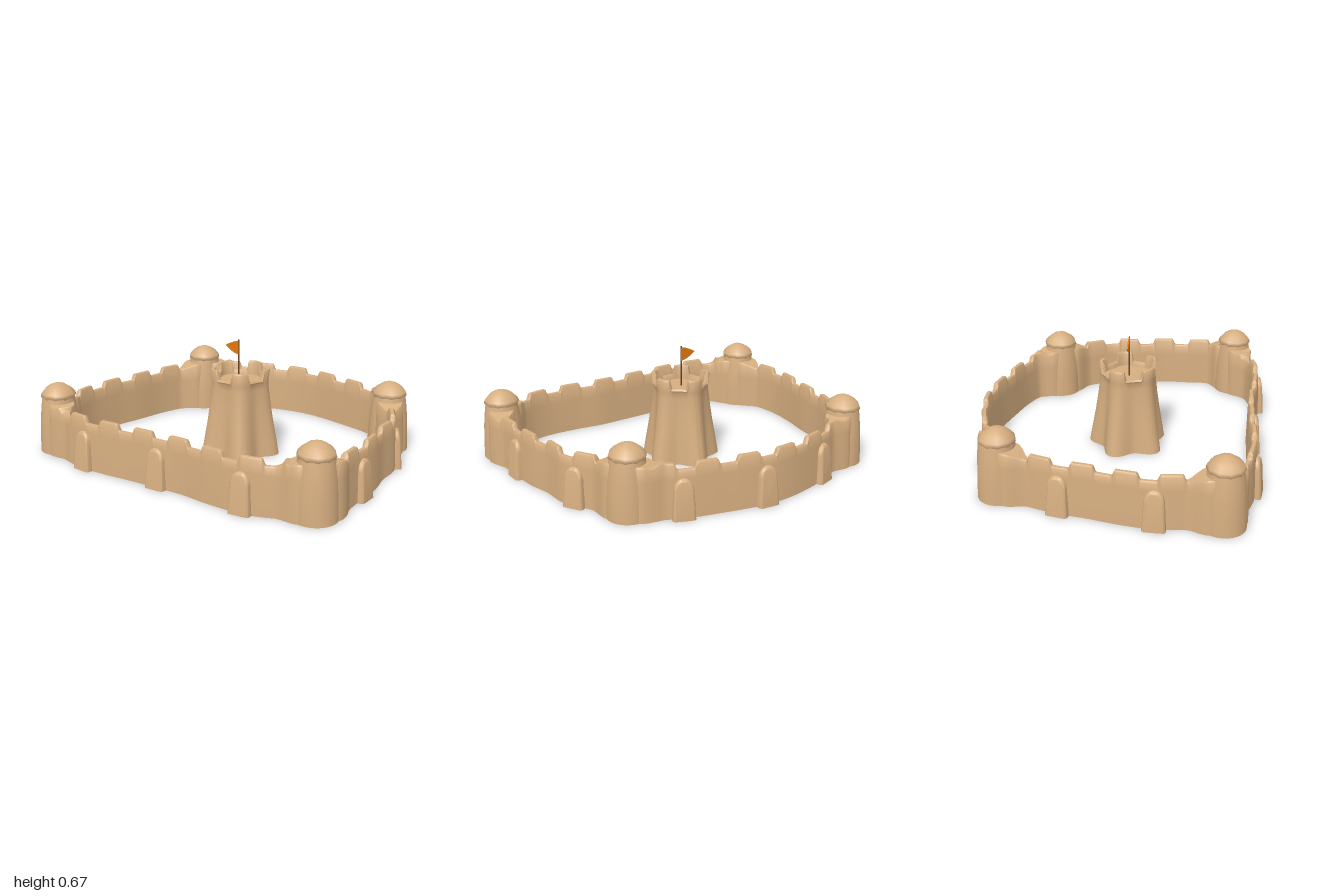
import * as THREE from 'three';
import { toCreasedNormals } from 'three/addons/utils/BufferGeometryUtils.js';

const smooth = THREE.MathUtils.smoothstep;

// Skin a list of columns, each a list of [x, y, z] points
function loft(columns) {
  const n = columns[0].length, index = [];
  for (let i = 0; i < columns.length - 1; i++) {
    for (let j = 0; j < n - 1; j++) {
      const a = i * n + j, b = a + n;
      index.push(a, b, a + 1, b, b + 1, a + 1);
    }
  }
  const g = new THREE.BufferGeometry();
  g.setAttribute('position', new THREE.Float32BufferAttribute(columns.flat(2), 3));
  g.setIndex(index);
  return toCreasedNormals(g, 0.8);
}

// Wall centre lines as [x, z], each running from one corner tower to the next
const SIDES = {
  front: [[-0.88, 0.65], [-0.69, 0.75], [-0.53, 0.78], [-0.39, 0.78], [-0.2, 0.765], [0, 0.755],
    [0.15, 0.75], [0.33, 0.765], [0.52, 0.765], [0.66, 0.735], [0.88, 0.615]],
  left: [[0.88, 0.615], [0.935, 0.48], [0.93, 0.33], [0.92, 0.13], [0.885, -0.03], [0.87, -0.19],
    [0.8, -0.32], [0.68, -0.515]],
  back: [[0.68, -0.515], [0.56, -0.63], [0.45, -0.685], [0.24, -0.74], [0, -0.785], [-0.18, -0.78],
    [-0.45, -0.71], [-0.61, -0.635], [-0.745, -0.56]],
  right: [[-0.745, -0.56], [-0.8, -0.43], [-0.86, -0.24], [-0.89, -0.05], [-0.925, 0.13],
    [-0.94, 0.32], [-0.91, 0.51], [-0.88, 0.65]],
};

// Buttress positions along each side
const BUTTRESSES = {
  front: [[-0.53, 0.78], [-0.015, 0.755], [0.54, 0.765]],
  left: [[0.93, 0.27], [0.84, -0.25]],
  back: [[0.45, -0.685], [0, -0.785], [-0.45, -0.71]],
  right: [[-0.87, -0.21], [-0.94, 0.3]],
};

function sampleSide(points) {
  const curve = new THREE.CatmullRomCurve3(points.map(([x, z]) => new THREE.Vector3(x, 0, z)));
  const length = curve.getLength(), count = Math.round(length * 150), samples = [];
  for (let i = 0; i <= count; i++) {
    const u = i / count, p = curve.getPointAt(u), t = curve.getTangentAt(u);
    samples.push({ p, nx: -t.z, nz: t.x, s: u * length, length });
  }
  return samples;
}

// Battered wall with rounded merlons, thickening where it meets the towers
function wallGeometry(samples) {
  return loft(samples.map(({ p, nx, nz, s, length }) => {
    const wave = -Math.cos(((s - length / 2) / 0.235) * Math.PI * 2);
    const end = Math.min(s, length - s);
    const flare = 0.06 * (1 - smooth(end, 0.08, 0.21));
    const h = 0.268 + 0.037 * smooth(wave, -0.45, 0.1) * smooth(end, 0.12, 0.18) + flare * 0.6;
    const section = [
      [0.026, 0], [0.024, 0.1], [0.018, 0.22], [0.016, h - 0.01], [0.009, h],
      [-0.009, h], [-0.015, h - 0.01], [-0.017, 0.2], [-0.018, 0], [0.026, 0],
    ];
    return section.map(([d, y]) => {
      const k = d + Math.sign(d) * flare;
      return [p.x + nx * k, y, p.z + nz * k];
    });
  }));
}

// Arched buttress, shallower towards its top
function buttressGeometry() {
  const arch = new THREE.Shape();
  arch.moveTo(-0.048, 0);
  arch.lineTo(0.048, 0);
  arch.lineTo(0.04, 0.16);
  arch.bezierCurveTo(0.036, 0.228, -0.036, 0.228, -0.04, 0.16);
  arch.closePath();
  const g = new THREE.ExtrudeGeometry(arch, {
    depth: 0.042, bevelThickness: 0.018, bevelSize: 0.014, bevelSegments: 4, curveSegments: 16,
  });
  const pos = g.attributes.position;
  for (let i = 0; i < pos.count; i++) {
    const y = Math.max(0, pos.getY(i));
    pos.setY(i, y);
    pos.setZ(i, pos.getZ(i) * (1 - 0.4 * (y / 0.23) ** 2));
  }
  return toCreasedNormals(g, 0.9);
}

// Five-lobed keep with a merlon on every lobe
function keepGeometry() {
  const columns = [], steps = 160;
  for (let i = 0; i <= steps; i++) {
    const a = (i / steps) * Math.PI * 2, lobe = Math.cos(5 * a);
    const h = 0.457 + 0.052 * smooth(lobe, -0.2, 0.25);
    const rings = [
      [0, 0, 0], [0, 0.202, 0.16], [0.1, 0.19, 0.14], [0.2, 0.177, 0.12], [0.3, 0.166, 0.1],
      [0.4, 0.157, 0.08], [0.435, 0.157, 0.07], [h - 0.01, 0.165, 0.07], [h, 0.159, 0.07],
      [h, 0.144, 0.07], [h - 0.01, 0.139, 0.07], [0.43, 0.135, 0.07], [0.43, 0, 0],
    ];
    columns.push(rings.map(([y, r, amp]) => {
      const k = r * (1 + amp * lobe);
      return [-Math.sin(a) * k, y, -Math.cos(a) * k];
    }));
  }
  return loft(columns);
}

const lathe = (profile, sides) =>
  new THREE.LatheGeometry(profile.map(([r, y]) => new THREE.Vector2(r, y)), sides);

export function createModel() {
  const sand = new THREE.MeshStandardMaterial({ color: 0xd6ae80, side: THREE.DoubleSide });
  sand.name = 'sand';
  const orange = new THREE.MeshStandardMaterial({ color: 0xe07a10, side: THREE.DoubleSide });
  orange.name = 'flag orange';
  const wood = new THREE.MeshStandardMaterial({ color: 0x6b4423 });
  wood.name = 'pole brown';

  const model = new THREE.Group();
  model.name = 'sandCastle';
  const add = (name, geometry, material, x = 0, y = 0, z = 0, parent = model) => {
    const mesh = new THREE.Mesh(geometry, material);
    mesh.name = name;
    mesh.position.set(x, y, z);
    parent.add(mesh);
    return mesh;
  };

  // Shared corner tower shapes
  const body = toCreasedNormals(lathe([[0, 0], [0.118, 0], [0.116, 0.1], [0.11, 0.2], [0.1, 0.29],
    [0.092, 0.335], [0, 0.335]], 28), 0.8);
  const dome = lathe([[0.088, 0.315], [0.103, 0.335], [0.098, 0.352], [0.075, 0.378],
    [0.045, 0.398], [0.018, 0.408], [0, 0.409]], 10);
  const buttress = buttressGeometry();

  for (const [side, points] of Object.entries(SIDES)) {
    const samples = sampleSide(points);
    add(side + 'Wall', wallGeometry(samples), sand);

    // Buttresses face outward from the nearest point of the wall
    for (const [x, z] of BUTTRESSES[side]) {
      const gap = (q) => Math.hypot(q.p.x - x, q.p.z - z);
      const near = samples.reduce((a, b) => (gap(b) < gap(a) ? b : a));
      const mesh = add(side + 'Buttress', buttress, sand, near.p.x, 0, near.p.z);
      mesh.rotation.y = Math.atan2(near.nx, near.nz);
    }

    // One corner tower at the start of each side
    const tower = new THREE.Group();
    tower.name = 'cornerTower';
    tower.position.set(points[0][0], 0, points[0][1]);
    model.add(tower);
    add('towerBody', body, sand, 0, 0, 0, tower);
    add('towerDome', dome, sand, 0, 0, 0, tower);
  }

  // Central keep with its flag
  add('keep', keepGeometry(), sand, -0.005, 0, 0.037);
  add('flagPole', new THREE.CylinderGeometry(0.004, 0.004, 0.24, 8), wood, -0.014, 0.55, 0.04);
  const cloth = new THREE.Shape();
  cloth.moveTo(0, 0.665);
  cloth.quadraticCurveTo(-0.05, 0.655, -0.093, 0.628);
  cloth.quadraticCurveTo(-0.05, 0.59, 0, 0.582);
  cloth.closePath();
  add('flag', new THREE.ExtrudeGeometry(cloth, { depth: 0.008, bevelEnabled: false, curveSegments: 10 }),
    orange, -0.012, 0, 0.036);
  return model;
}
